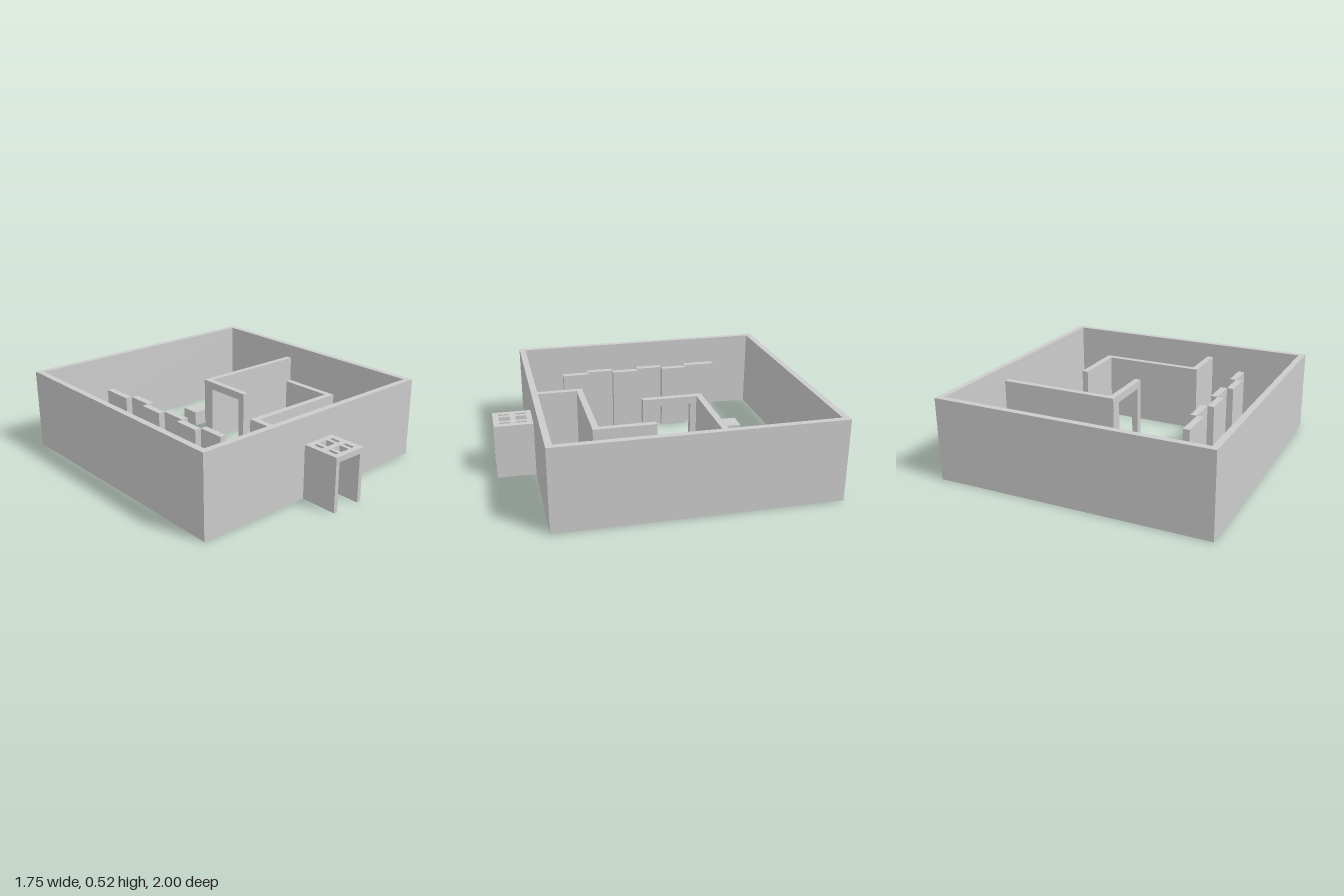
import * as THREE from 'three';

const material = new THREE.MeshStandardMaterial({ color: 0xcccccc, flatShading: true, side: THREE.DoubleSide });

const H = 0.525;   // outer wall height
const P = 0.43;    // partition height
const D = 0.315;   // front doorway height

function add(parent, name, geometry) {
  const mesh = new THREE.Mesh(geometry, material);
  mesh.name = name;
  parent.add(mesh);
  return mesh;
}

// Box given by its limits on each axis
function block(parent, name, x0, x1, y0, y1, z0, z1) {
  const mesh = add(parent, name, new THREE.BoxGeometry(x1 - x0, y1 - y0, z1 - z0));
  mesh.position.set((x0 + x1) / 2, (y0 + y1) / 2, (z0 + z1) / 2);
  return mesh;
}

function rectangle(Type, x0, x1, y0, y1) {
  return new Type().setFromPoints([[x0, y0], [x1, y0], [x1, y1], [x0, y1]].map(p => new THREE.Vector2(...p)));
}

function group(parent, name) {
  const g = new THREE.Group();
  g.name = name;
  parent.add(g);
  return g;
}

export function createModel() {
  const model = new THREE.Group();
  model.name = 'roofless house';

  // Outer walls
  const outer = group(model, 'outerWalls');
  for (const s of [-1, 1]) {
    block(outer, 'sideWall', Math.min(s * 0.835, s * 0.875), Math.max(s * 0.835, s * 0.875), 0, H, -1, 0.755);
  }
  block(outer, 'backWall', -0.835, 0.835, 0, H, -1, -0.96);

  // Front wall with a doorway cut up from the ground
  const front = new THREE.Shape([
    [-0.835, 0], [-0.088, 0], [-0.088, D], [0.088, D], [0.088, 0], [0.835, 0], [0.835, H], [-0.835, H],
  ].map(p => new THREE.Vector2(...p)));
  add(outer, 'frontWall', new THREE.ExtrudeGeometry(front, { depth: 0.04, bevelEnabled: false })).position.z = 0.715;

  // Entrance porch: two side panels and a roof with a grid of openings
  const porch = group(model, 'porch');
  block(porch, 'porchSide', -0.115, -0.088, 0, D, 0.755, 1);
  block(porch, 'porchSide', 0.088, 0.115, 0, D, 0.755, 1);
  const roof = rectangle(THREE.Shape, -0.115, 0.115, 0.755, 1);
  for (const [z0, z1] of [[0.79, 0.857], [0.893, 0.963]]) {
    for (const [x0, x1] of [[-0.08, -0.058], [-0.033, 0.03], [0.054, 0.076]]) {
      roof.holes.push(rectangle(THREE.Path, x0, x1, z0, z1));
    }
  }
  const roofMesh = add(porch, 'porchRoof', new THREE.ExtrudeGeometry(roof, { depth: 0.035, bevelEnabled: false }));
  roofMesh.rotation.x = Math.PI / 2;
  roofMesh.position.y = 0.35;

  // Rear partition, with a framed opening in its short return
  const rear = group(model, 'rearPartition');
  block(rear, 'longWall', 0.04, 0.835, 0, P, -0.345, -0.305);
  const frame = rectangle(THREE.Shape, -0.05, 0.305, 0, P);
  frame.holes.push(rectangle(THREE.Path, -0.005, 0.265, 0.04, 0.38));
  const frameMesh = add(rear, 'openingFrame', new THREE.ExtrudeGeometry(frame, { depth: 0.04, bevelEnabled: false }));
  frameMesh.rotation.y = Math.PI / 2;
  frameMesh.position.x = 0.04;

  // Front partition, stepped in plan
  const stepped = group(model, 'frontPartition');
  block(stepped, 'entryWall', -0.22, -0.18, 0, P, 0.44, 0.715);
  block(stepped, 'crossWall', -0.22, 0.475, 0, P, 0.40, 0.44);
  block(stepped, 'endWall', 0.435, 0.475, 0, P, 0.05, 0.40);

  // Staggered screen of upright panels
  const screen = group(model, 'screen');
  const joints = [-0.605, -0.39, -0.215, -0.04, 0.137, 0.312, 0.487];
  for (let i = 0; i < 6; i++) {
    const x = i % 2 ? -0.53 : -0.572;
    block(screen, 'screenPanel', x, x + 0.042, 0, P, joints[i], joints[i + 1]);
  }

  // Row of hollow plinths, open underneath
  const plinths = group(model, 'plinths');
  for (const x of [-0.2, 0.195, 0.59]) {
    const geometry = new THREE.BoxGeometry(0.13, 0.1, 0.13);
    const index = Array.from(geometry.index.array);
    index.splice(18, 6); // leave out the bottom face
    geometry.setIndex(index);
    geometry.clearGroups();
    add(plinths, 'plinth', geometry).position.set(x, 0.05, -0.63);
  }

  return model;
}
